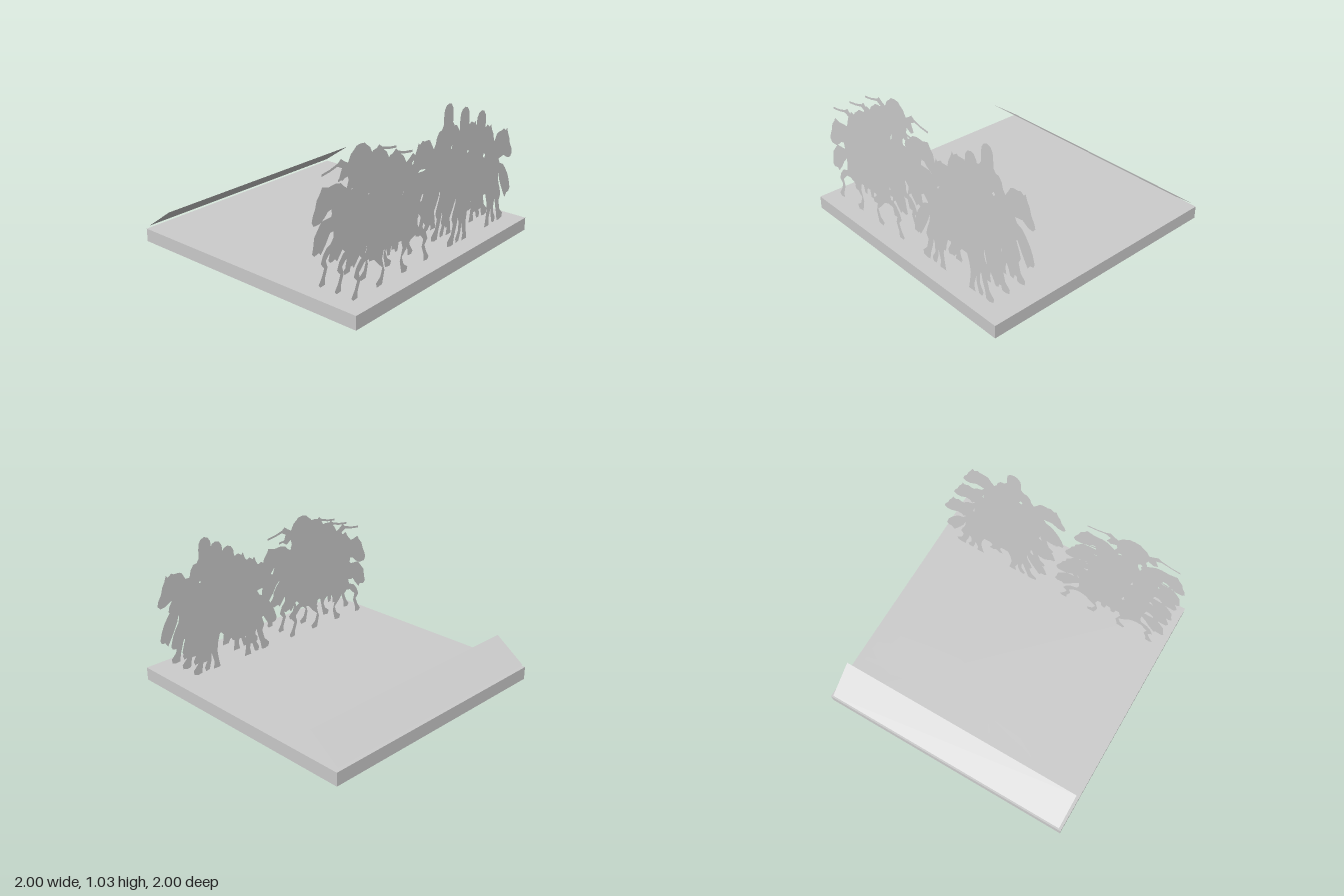
import * as THREE from 'three';

const stone = new THREE.MeshStandardMaterial({ color: 0xcccccc, side: THREE.DoubleSide });
stone.name = 'grey card';
const UNIT = 187; // drafting units per model unit

const scaled = (pts) => pts.map(([x, y]) => new THREE.Vector2(x / UNIT, y / UNIT));

function addMesh(parent, name, geometry, x = 0, y = 0, z = 0) {
  const mesh = new THREE.Mesh(geometry, stone);
  mesh.name = name;
  mesh.position.set(x, y, z);
  parent.add(mesh);
  return mesh;
}

// One flat part drawn as [distance from the centre line, height], with its mirror image
function addPair(card, name, outline, hole) {
  const shapes = [-1, 1].map((side) => {
    const flip = (pts) => scaled(pts.map(([x, y]) => [side * x, y]));
    const shape = new THREE.Shape(flip(outline));
    if (hole) shape.holes.push(new THREE.Path(flip(hole)));
    return shape;
  });
  addMesh(card, name, new THREE.ShapeGeometry(shapes));
}

// Rider with raised arms and spread spears, between two horses
function createSpearCard() {
  const card = new THREE.Group();
  card.name = 'spearRiders';
  addPair(card, 'riderAndSpear', [
    [0, 183], [8, 182], [11, 179], [18, 174], [23, 165], [29, 168], [36, 173], [41, 169], [55, 165],
    [70, 163], [70, 160], [55, 162], [42, 165], [34, 161], [39, 149], [33, 145], [24, 150], [22, 143], [0, 143],
  ]);
  addPair(card, 'body', [
    [0, 143], [22, 143], [25, 134], [53, 115], [51, 106], [49, 92], [49, 80], [51, 73], [45, 64],
    [36, 61], [17, 66], [0, 66],
  ], [[15, 131], [12, 127], [13, 119], [17, 112], [19, 117], [17, 124], [19, 129]]);
  addPair(card, 'horseHead', [
    [25, 134], [31, 138], [36, 143], [45, 145], [58, 144], [69, 147], [72, 141], [78, 134], [81, 124],
    [85, 116], [87, 109], [84, 103], [73, 103], [65, 108], [59, 114], [53, 115],
  ]);
  addPair(card, 'tail', [
    [51, 106], [70, 105], [76, 98], [83, 89], [85, 76], [87, 69], [83, 65], [75, 67], [72, 63],
    [63, 74], [56, 85], [49, 92],
  ]);
  addPair(card, 'outerLeg', [
    [51, 73], [61, 69], [68, 61], [72, 51], [66, 44], [70, 34], [76, 25], [73, 21], [65, 22], [65, 30],
    [60, 43], [63, 53], [53, 63], [45, 64],
  ]);
  addPair(card, 'innerLeg', [
    [36, 61], [27, 51], [19, 44], [23, 33], [31, 27], [29, 21], [19, 22], [15, 39], [20, 56], [17, 66],
  ]);
  addPair(card, 'raisedHoof', [[12, 66], [10, 56], [5, 55], [3, 66]]);
  return card;
}

// Hooded rider between two horses
function createHoodedCard() {
  const card = new THREE.Group();
  card.name = 'hoodedRiders';
  addPair(card, 'rider', [
    [0, 193], [6, 191], [10, 185], [11, 176], [11, 165], [15, 159], [21, 158], [26, 151], [28, 143],
    [32, 137], [0, 137],
  ]);
  addPair(card, 'body', [
    [0, 137], [32, 137], [49, 114], [53, 107], [51, 94], [51, 86], [53, 78], [45, 57], [24, 59],
    [20, 71], [0, 72],
  ], [[11, 132], [8, 128], [12, 125], [14, 129]]);
  addPair(card, 'horseHead', [
    [32, 137], [37, 144], [41, 151], [45, 153], [54, 153], [58, 155], [64, 151], [67, 154], [70, 146],
    [74, 139], [77, 129], [82, 121], [84, 114], [80, 109], [72, 110], [62, 116], [54, 115], [49, 114],
  ]);
  addPair(card, 'tail', [
    [53, 107], [62, 103], [68, 96], [75, 86], [80, 76], [84, 63], [82, 58], [76, 57], [72, 51],
    [67, 59], [60, 71], [54, 83], [51, 94],
  ]);
  addPair(card, 'outerLeg', [
    [53, 78], [57, 69], [60, 59], [56, 51], [60, 37], [68, 29], [67, 23], [60, 21], [54, 22], [52, 33],
    [48, 45], [45, 57],
  ]);
  addPair(card, 'innerLegs', [
    [45, 57], [43, 51], [43, 39], [49, 28], [47, 22], [41, 23], [37, 36], [36, 46], [32, 31], [34, 21],
    [22, 21], [24, 31], [26, 46], [24, 59],
  ]);
  addPair(card, 'raisedHoof', [[10, 72], [6, 66], [11, 54], [5, 53], [2, 57], [0, 57], [0, 72]]);
  return card;
}

// Silhouette lying on the base, drawn as [x, z]
function addFallen(model, name, outline) {
  const shape = new THREE.Shape(scaled(outline.map(([x, z]) => [x, -z])));
  addMesh(model, name, new THREE.ShapeGeometry(shape).rotateX(-Math.PI / 2), 0, 0.103, 0);
}

export function createModel() {
  const model = new THREE.Group();

  // square base
  addMesh(model, 'base', new THREE.BoxGeometry(2, 0.1, 2), 0, 0.05, 0);

  // sloping panel along the back edge, rising toward the front
  const panel = addMesh(model, 'backPanel', new THREE.PlaneGeometry(1.96, 0.294), 0, 0.205, -0.87);
  panel.rotation.x = -Math.PI / 2 - 0.616;

  // three ranks of mounted silhouettes
  for (const z of [0.61, 0.745, 0.88]) {
    const spears = createSpearCard();
    spears.position.set(-0.495, 0, z);
    const hooded = createHoodedCard();
    hooded.position.set(0.492, 0, z);
    model.add(spears, hooded);
  }

  // silhouettes lying flat on the base
  addFallen(model, 'fallenRightCard', [
    [-106, -121], [-84, -113], [-59, -109], [-39, -103], [-27, -99], [-36, -117], [-34, -121],
    [-22, -103], [-14, -111], [-4, -105], [1, -96], [11, -92], [20, -93], [18, -88], [9, -80],
    [-1, -75], [20, -45], [13, -53], [-3, -70], [-54, -65], [-99, -61], [-104, -65], [-102, -77],
    [-74, -82], [-76, -89], [-84, -97], [-76, -103], [-94, -113],
  ]);
  addFallen(model, 'fallenLeftCard', [
    [41, -121], [66, -115], [96, -111], [123, -115], [131, -118], [148, -114], [176, -117],
    [177, -112], [161, -108], [176, -98], [175, -85], [156, -77], [151, -60], [106, -52], [56, -46],
    [44, -50], [42, -75], [56, -82], [71, -95], [66, -105], [42, -109],
  ]);
  return model;
}
